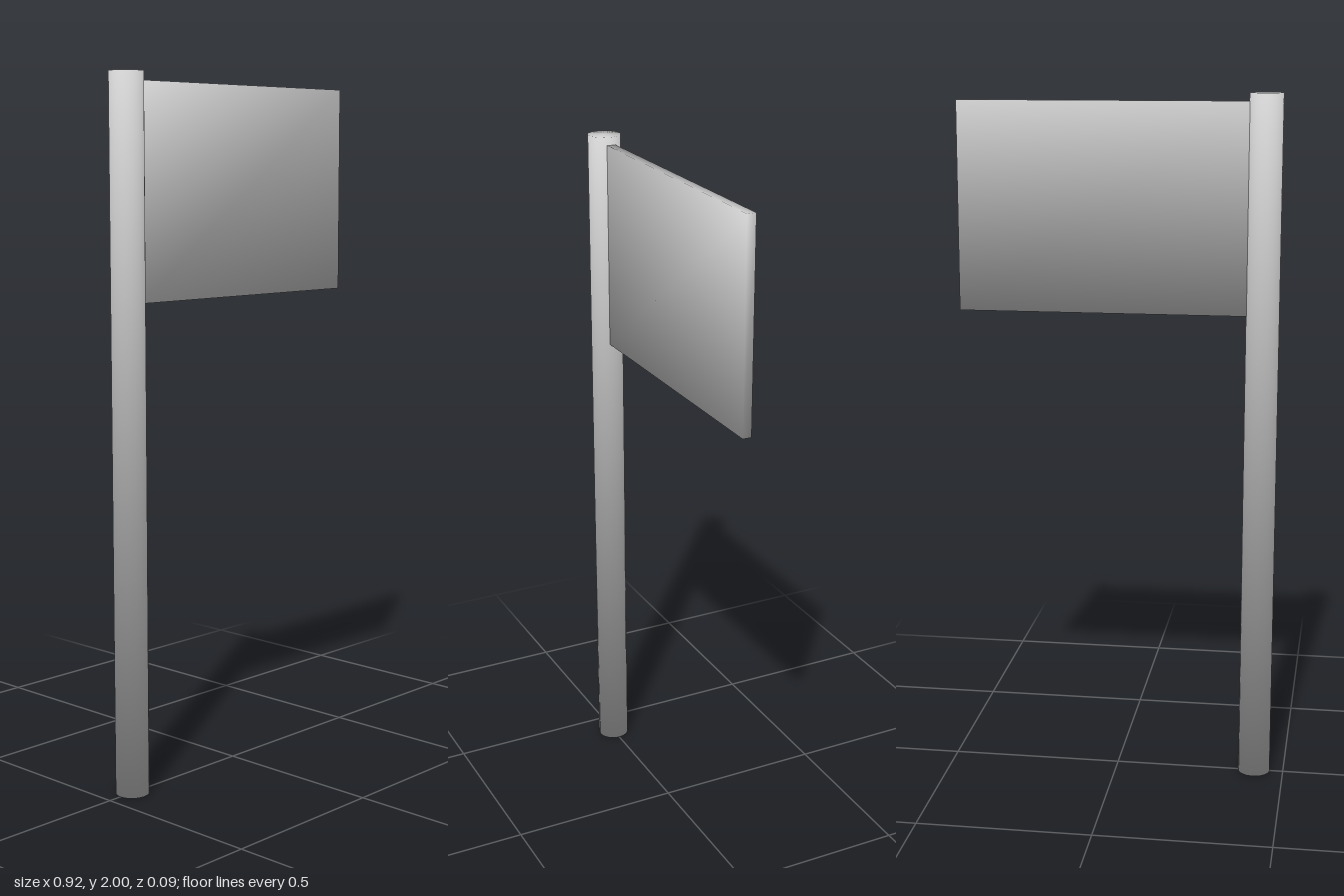
import * as THREE from 'three';

const material = new THREE.MeshStandardMaterial({ color: 0xcccccc });

// Soft shading: normals averaged across the edges, pointing out from the centre
function softPart(name, geometry, half, position) {
  const p = geometry.attributes.position;
  const n = new THREE.Vector3();
  for (let i = 0; i < p.count; i++) {
    n.fromBufferAttribute(p, i).divide(half).normalize();
    geometry.attributes.normal.setXYZ(i, n.x, n.y, n.z);
  }
  const mesh = new THREE.Mesh(geometry, material);
  mesh.name = name;
  mesh.position.set(...position);
  return mesh;
}

export function createModel() {
  const group = new THREE.Group();
  group.name = 'flagOnPole';

  // Round pole, full height
  const r = 0.0475, height = 2, poleX = -0.413;
  group.add(softPart('pole', new THREE.CylinderGeometry(r, r, height, 32),
    new THREE.Vector3(r, height / 2, r), [poleX, height / 2, 0]));

  // Thin flat flag, its inner edge sunk slightly into the pole
  const x0 = -0.375, x1 = 0.46, y0 = 1.38, y1 = 1.977, depth = 0.026;
  const w = x1 - x0, h = y1 - y0;
  group.add(softPart('flag', new THREE.BoxGeometry(w, h, depth),
    new THREE.Vector3(w / 2, h / 2, depth / 2), [(x0 + x1) / 2, (y0 + y1) / 2, -0.001]));

  return group;
}
